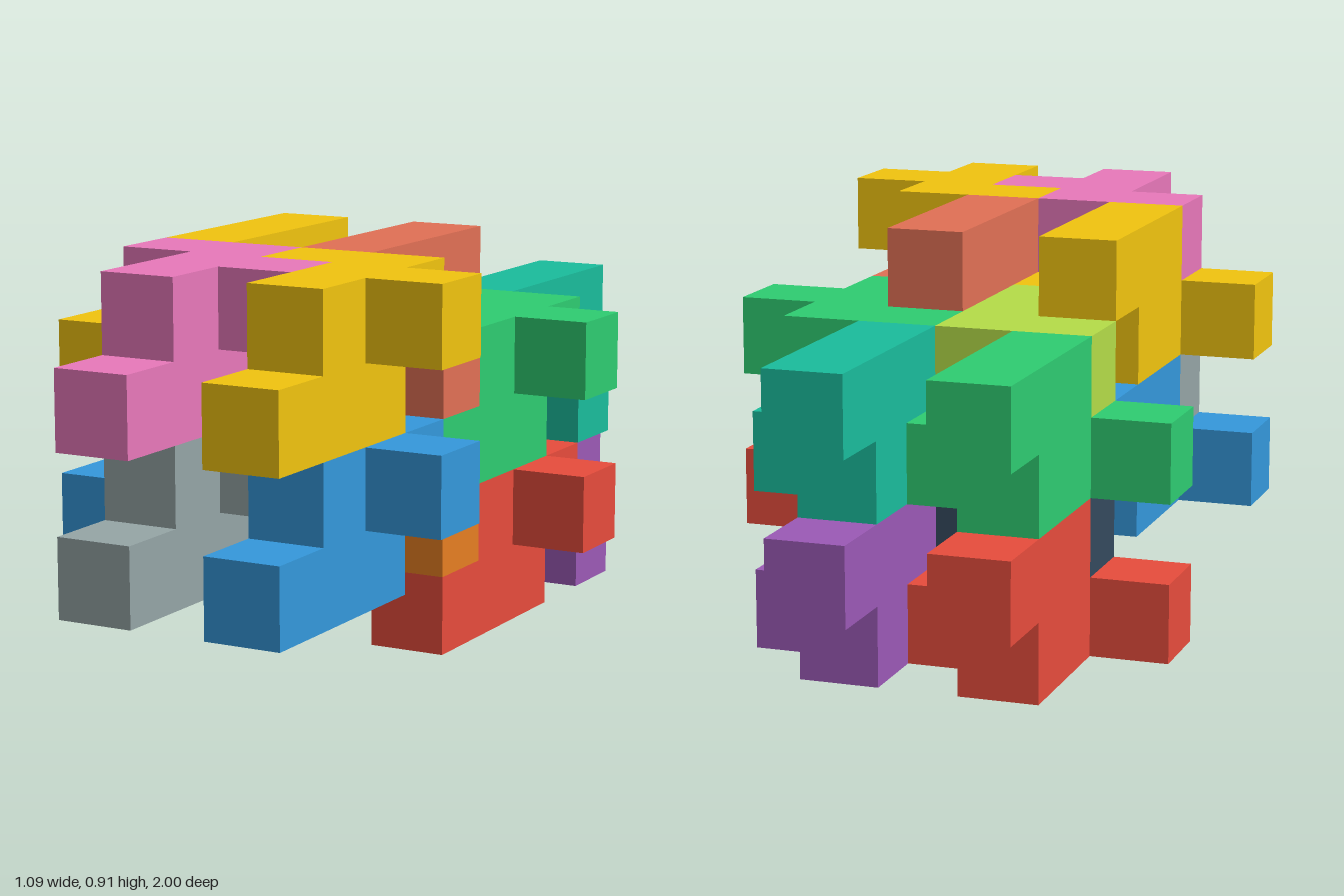
import * as THREE from 'three';
import { mergeGeometries } from 'three/addons/utils/BufferGeometryUtils.js';

const UNIT = 2 / 11; // edge of one cube cell

// One eight-cube puzzle piece, in cell units: a stepped body plus two side cubes
function pieceGeometry() {
  const profile = [[2, 0], [2, 1], [-1, 1], [-1, 0], [-2, 0], [-2, -1], [1, -1], [1, 0]];
  const body = new THREE.ExtrudeGeometry(
    new THREE.Shape(profile.map(([a, b]) => new THREE.Vector2(a, b))),
    { depth: 1, bevelEnabled: false });
  body.rotateY(Math.PI / 2).translate(-0.5, 0, 0);
  const cube = (x, y, z) => new THREE.BoxGeometry(1, 1, 1).toNonIndexed().translate(x, y, z);
  return mergeGeometries([body, cube(-1, 0.5, -1.5), cube(1, 0.5, -0.5)]);
}

export function createModel() {
  const model = new THREE.Group();
  model.name = 'interlockingCubePuzzle';
  const geometry = pieceGeometry();
  geometry.scale(UNIT, UNIT, UNIT);

  const yellow = 0xf1c40f, green = 0x2ecc71, blue = 0x3498db, red = 0xe74c3c;
  // Four clusters of four pieces: [upright, flipped, upright, flipped]
  const clusters = [
    { name: 'topFront', y: 4, z: 0, colors: [0xe878ba, yellow, yellow, 0xe17055] },
    { name: 'upperBack', y: 3, z: -4, colors: [0xb4dc48, green, green, 0x1abc9c] },
    { name: 'lowerFront', y: 2, z: 0, colors: [0x95a5a6, blue, blue, 0xe67e22] },
    { name: 'bottomBack', y: 1, z: -4, colors: [0x34495e, red, red, 0x9b59b6] },
  ];

  for (const { name, y, z, colors } of clusters) {
    const cluster = new THREE.Group();
    cluster.name = name + 'Cluster';
    cluster.position.set(0, y * UNIT, z * UNIT);
    colors.forEach((color, n) => {
      const flipped = n % 2 === 1;
      const side = n < 2 ? 0 : 2; // the second pair sits two cells to the left
      const piece = new THREE.Mesh(geometry, new THREE.MeshStandardMaterial({ color }));
      piece.name = (n < 2 ? 'right' : 'left') + (flipped ? 'FlippedPiece' : 'UprightPiece');
      piece.position.set(((flipped ? -1.5 : -0.5) + side) * UNIT, 0, (flipped ? 0.5 : 3.5) * UNIT);
      if (flipped) piece.rotation.x = Math.PI;
      cluster.add(piece);
    });
    model.add(cluster);
  }
  return model;
}
